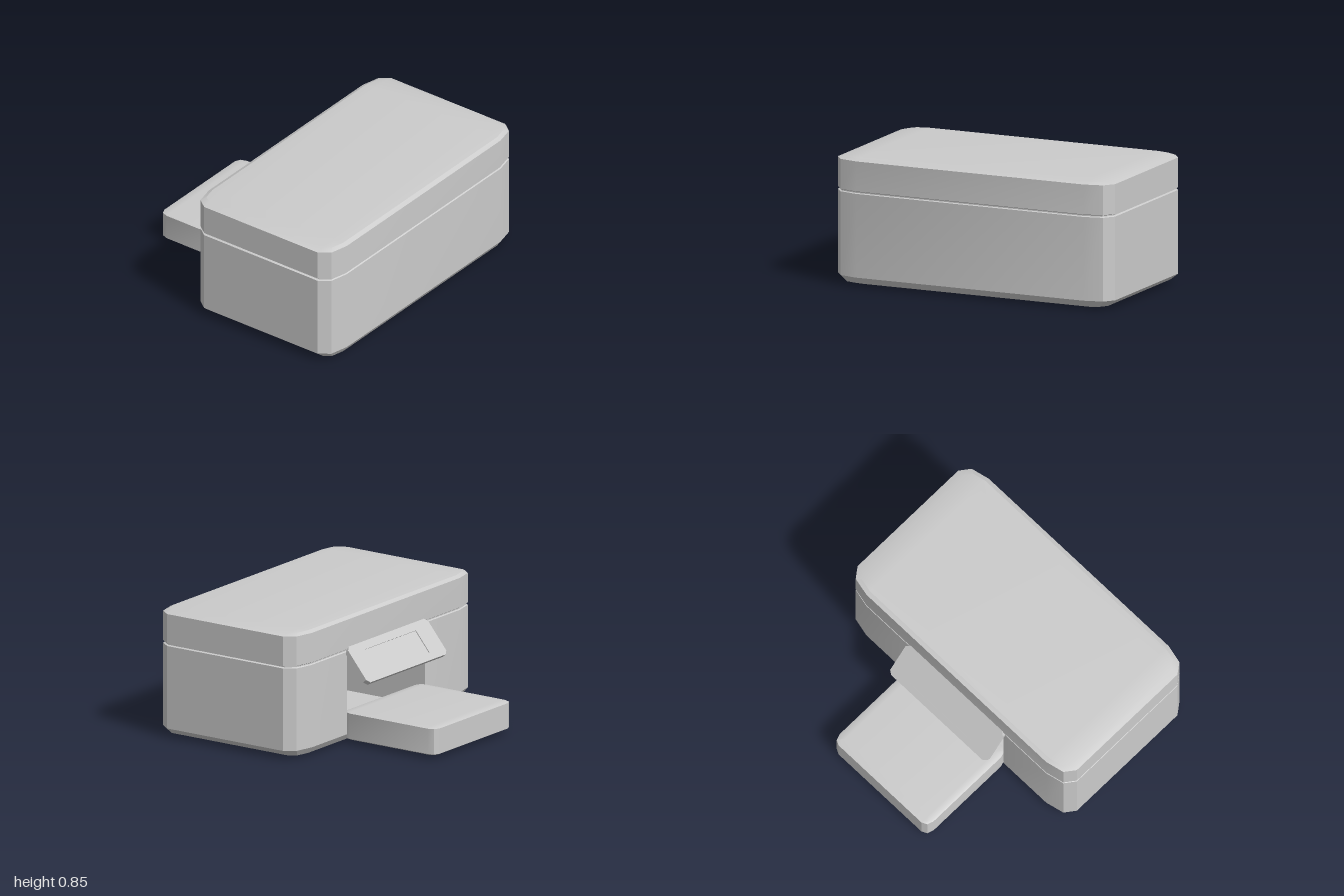
import * as THREE from 'three';
import { toCreasedNormals } from 'three/addons/utils/BufferGeometryUtils.js';

const grey = new THREE.MeshStandardMaterial({ color: 0xcccccc });
const greyDouble = new THREE.MeshStandardMaterial({ color: 0xcccccc, side: THREE.DoubleSide });

// Stack of rounded-rectangle rings. Each ring is [y, s], where s scales the corner
// radii (1 = full outline, 0 = core rectangle). An opening may be left on the -x wall.
function roundedStack({ x0, x1, hz, rx, rz, rings, opening }) {
  const cx = (x0 + x1) / 2, coreX = (x1 - x0) / 2 - rx, coreZ = hz - rz;
  const pos = [], idx = [];
  let n = 0;
  rings.forEach(([y, s]) => {
    const ring = [];
    for (let q = 0; q < 4; q++) {
      const sx = q === 0 || q === 3 ? 1 : -1, sz = q < 2 ? 1 : -1;
      for (let k = 0; k < 3; k++) {
        const t = (q + k / 2) * Math.PI / 2;
        ring.push([cx + sx * coreX + rx * s * Math.cos(t), y, sz * coreZ + rz * s * Math.sin(t)]);
      }
      if (q === 1 && opening) {
        for (const side of [1, -1]) ring.push([cx - coreX - rx * s, y, side * opening.hz]);
      }
    }
    n = ring.length;
    pos.push(...ring.flat());
  });
  for (let r = 0; r < rings.length - 1; r++) {
    for (let i = 0; i < n; i++) {
      if (opening && r === opening.band && i === 6) continue;
      const a = r * n + i, b = r * n + (i + 1) % n;
      idx.push(a, a + n, b, b, a + n, b + n);
    }
  }
  // bottom and top caps
  const top = (rings.length - 1) * n;
  for (let i = 1; i < n - 1; i++) idx.push(0, i, i + 1, top, top + i + 1, top + i);
  const geo = new THREE.BufferGeometry();
  geo.setAttribute('position', new THREE.Float32BufferAttribute(pos, 3));
  geo.setIndex(idx);
  return toCreasedNormals(geo, 0.35);
}

function rectangle(Type, hw, y0, y1, cut = 0) {
  const p = new Type();
  p.moveTo(-hw + cut, y0);
  p.lineTo(hw - cut, y0);
  p.lineTo(hw, y0 + cut);
  p.lineTo(hw, y1 - cut);
  p.lineTo(hw - cut, y1);
  p.lineTo(-hw + cut, y1);
  p.lineTo(-hw, y1 - cut);
  p.lineTo(-hw, y0 + cut);
  p.closePath();
  return p;
}

export function createModel() {
  const model = new THREE.Group();
  const add = (parent, name, geo, material = grey) => {
    const mesh = new THREE.Mesh(geo, material);
    mesh.name = name;
    parent.add(mesh);
    return mesh;
  };

  const body = { x0: -0.212, x1: 0.915, hz: 1, rx: 0.1, rz: 0.18 };
  const slot = { hz: 0.43, y0: 0.06, y1: 0.615, depth: 0.72 };

  // Lower housing with the opening on its -x wall
  add(model, 'lowerBody', roundedStack({
    ...body, opening: { hz: slot.hz, band: 2 },
    rings: [[0, 0], [0.018, 0.707], [slot.y0, 1], [slot.y1, 1], [0.62, 0.92]],
  }));

  // Lid, with a narrow recessed seam beneath it
  add(model, 'lid', roundedStack({
    ...body,
    rings: [[0.62, 0.92], [0.627, 0.92], [0.632, 1], [0.83, 1], [0.844, 0.707], [0.85, 0]],
  }));

  // Inside of the opening: a box without its -x face
  const cavity = new THREE.BoxGeometry(slot.depth, slot.y1 - slot.y0, slot.hz * 2);
  cavity.translate(body.x0 + slot.depth / 2, (slot.y0 + slot.y1) / 2, 0);
  const faces = Array.from(cavity.index.array);
  faces.splice(6, 6);
  cavity.setIndex(faces);
  cavity.clearGroups();
  add(model, 'cavity', cavity, greyDouble);

  // Tray sliding out of the opening
  add(model, 'tray', roundedStack({
    x0: -0.915, x1: -0.17, hz: 0.428, rx: 0.06, rz: 0.05,
    rings: [[0.02, 0], [0.023, 0.707], [0.032, 1], [0.202, 1], [0.208, 0.707], [0.211, 0]],
  }));

  // Tilted flap: local x runs along z, local y up the slope, local z outwards
  const flap = new THREE.Group();
  flap.name = 'flap';
  const along = new THREE.Vector3(0, 0, 1);
  const slope = new THREE.Vector3(0.175, 0.21, 0).normalize();
  const outward = new THREE.Vector3().crossVectors(along, slope);
  flap.applyMatrix4(new THREE.Matrix4().makeBasis(along, slope, outward).setPosition(-0.366, 0.415, 0));
  model.add(flap);

  const frame = rectangle(THREE.Shape, 0.443, 0, 0.275, 0.025);
  frame.holes.push(rectangle(THREE.Path, 0.28, 0.05, 0.22));
  add(flap, 'flapFrame', new THREE.ExtrudeGeometry(frame, { depth: 0.032, bevelEnabled: false }));

  // Shallow recessed panel within the flap
  const panel = new THREE.BoxGeometry(0.56, 0.17, 0.026);
  panel.translate(0, 0.135, 0.013);
  add(flap, 'flapPanel', panel);

  return model;
}
